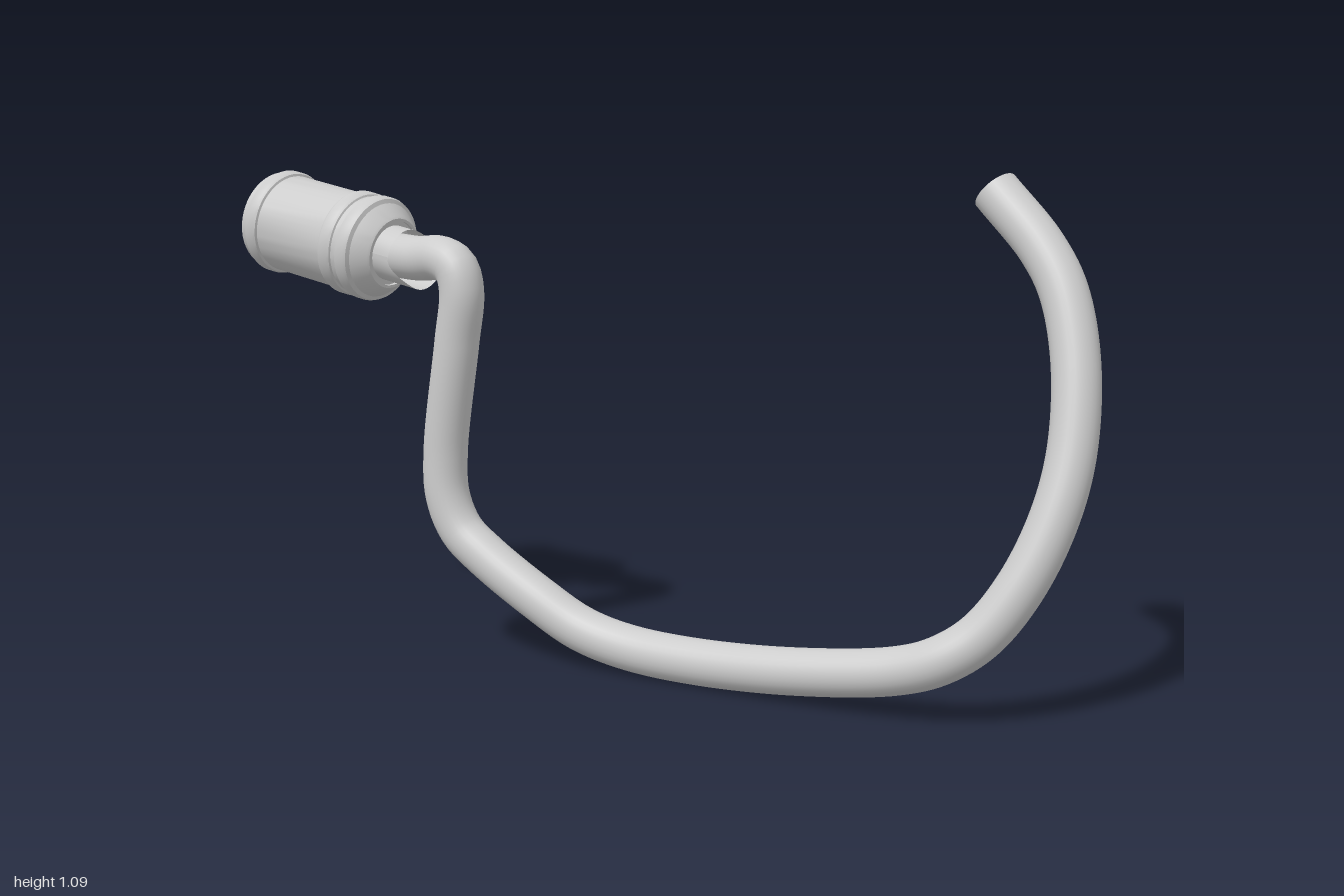
import * as THREE from 'three';
import { toCreasedNormals } from 'three/addons/utils/BufferGeometryUtils.js';

const V = (x, y, z) => new THREE.Vector3(x, y, z);
const UP = V(0, 1, 0);

export function createModel() {
  const root = new THREE.Group();
  const grey = new THREE.MeshStandardMaterial({ color: 0xcccccc });
  grey.name = 'light grey';
  grey.side = THREE.DoubleSide;

  const add = (parent, geometry, name) => {
    const mesh = new THREE.Mesh(geometry, grey);
    mesh.name = name;
    parent.add(mesh);
    return mesh;
  };

  // Hose: one smooth sweep from the coupling to the free end
  const path = new THREE.CatmullRomCurve3([
    [-0.6, 0.885, 0.2], [-0.5, 0.88, 0.2], [-0.43, 0.884, 0.2], [-0.385, 0.865, 0.2],
    [-0.368, 0.815, 0.2], [-0.385, 0.7, 0.2], [-0.425, 0.45, 0.2], [-0.42, 0.35, 0.2],
    [-0.385, 0.275, 0.193], [-0.32, 0.224, 0.183], [-0.18, 0.14, 0.158], [-0.08, 0.087, 0.135],
    [0.03, 0.06, 0.113], [0.2, 0.052, 0.09], [0.45, 0.067, 0.06], [0.68, 0.102, 0.025],
    [0.77, 0.135, 0.005], [0.84, 0.19, -0.033], [0.9, 0.29, -0.08], [0.938, 0.42, -0.135],
    [0.947, 0.55, -0.183], [0.923, 0.72, -0.232], [0.872, 0.86, -0.265],
    [0.81, 0.945, -0.28], [0.69, 1.055, -0.292],
  ].map((p) => V(...p)));
  const hose = new THREE.Group();
  hose.name = 'hose';
  root.add(hose);
  add(hose, new THREE.TubeGeometry(path, 200, 0.05, 28), 'hoseTube');
  const cap = add(hose, new THREE.CircleGeometry(0.05, 28), 'hoseEndCap');
  cap.position.copy(path.getPoint(1));
  cap.quaternion.setFromUnitVectors(V(0, 0, 1), path.getTangent(1));

  // Coupling: turned parts on one tilted axis, local y runs towards the hose
  const coupling = new THREE.Group();
  coupling.name = 'coupling';
  coupling.position.set(-0.99, 0.954, 0.225);
  coupling.quaternion.setFromUnitVectors(UP, V(1, -0.165, -0.06).normalize());
  root.add(coupling);
  const turned = (points, name) => {
    const profile = points.map(([r, s]) => new THREE.Vector2(r, s));
    add(coupling, toCreasedNormals(new THREE.LatheGeometry(profile, 48), 0.5), name);
  };

  // Hollow inner nipple
  turned([
    [0, 0.14], [0.04, 0.14], [0.04, 0.004], [0.044, 0], [0.055, 0], [0.058, 0.004],
    [0.058, 0.016], [0.05, 0.022], [0.05, 0.09],
  ], 'nipple');

  // Outer sleeve with recessed socket, rolled rim, grooves and shoulder
  turned([
    [0.05, 0.09], [0.082, 0.09], [0.082, 0.05], [0.095, 0.036], [0.108, 0.034],
    [0.111, 0.038], [0.111, 0.05], [0.117, 0.054], [0.12, 0.06], [0.12, 0.08],
    [0.117, 0.086], [0.112, 0.088], [0.112, 0.285], [0.117, 0.289], [0.12, 0.295],
    [0.12, 0.318], [0.117, 0.324], [0.113, 0.326], [0.113, 0.34], [0.117, 0.342],
    [0.12, 0.348], [0.12, 0.368], [0.117, 0.376], [0.108, 0.38], [0.085, 0.412],
    [0.08, 0.416], [0.074, 0.416], [0.074, 0.408], [0.05, 0.408],
  ], 'sleeve');

  // Hose clamp: open sleeve cut obliquely, longest at the lower back
  const clamp = new THREE.CylinderGeometry(0.063, 0.063, 0.1, 40, 1, true);
  const down = V(0, -0.8, -0.6).applyQuaternion(coupling.quaternion.clone().invert());
  const pos = clamp.attributes.position;
  for (let i = 0; i < pos.count; i++) {
    const side = (pos.getX(i) * down.x + pos.getZ(i) * down.z) / 0.063;
    const reach = 0.455 + 0.055 * THREE.MathUtils.smoothstep(side, -0.6, 0.5);
    pos.setY(i, pos.getY(i) > 0 ? reach : 0.4);
  }
  clamp.computeVertexNormals();
  add(coupling, clamp, 'hoseClamp');

  return root;
}
